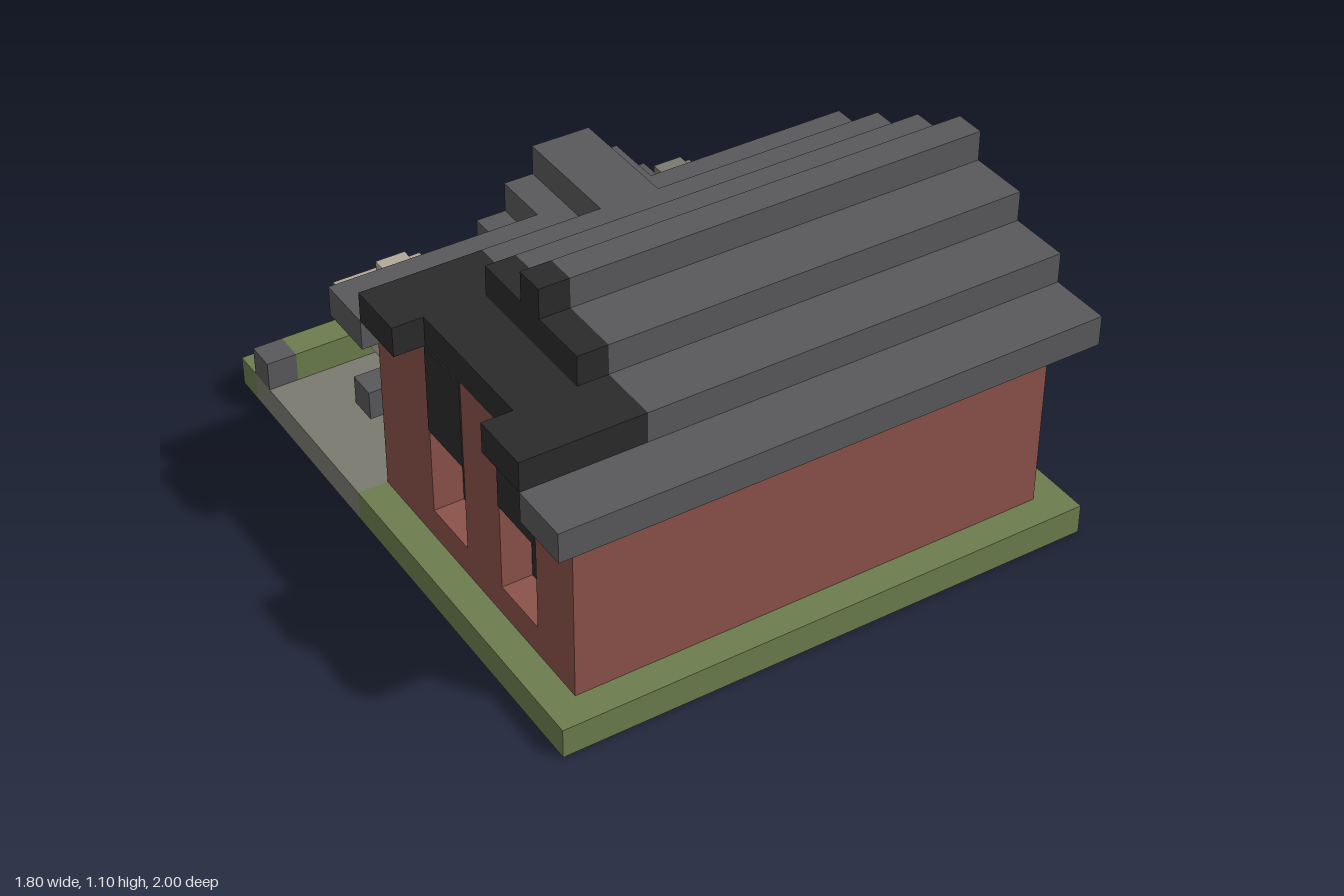
import * as THREE from 'three';

const mat = (name, color) => {
  const m = new THREE.MeshStandardMaterial({ color });
  m.name = name;
  return m;
};

export function createModel() {
  const brick = mat('brick', 0x8a5249);
  const slate = mat('slate', 0x59595b);
  const grass = mat('grass', 0x6c7d4e);
  const stone = mat('stone', 0x7b7a70);
  const cream = mat('cream', 0xb0a898);
  const char = mat('charred', 0x2b2b2b);

  const root = new THREE.Group();
  root.name = 'cottage';
  const group = (name) => {
    const g = new THREE.Group();
    g.name = name;
    root.add(g);
    return g;
  };
  // Box given by its low and high limits on each axis
  const box = (parent, name, material, x0, x1, y0, y1, z0, z1) => {
    const mesh = new THREE.Mesh(new THREE.BoxGeometry(x1 - x0, y1 - y0, z1 - z0), material);
    mesh.position.set((x0 + x1) / 2, (y0 + y1) / 2, (z0 + z1) / 2);
    mesh.name = name;
    parent.add(mesh);
  };
  // The same box on both sides of x = 0
  const pair = (parent, name, material, x0, x1, ...rest) => {
    box(parent, name, material, x0, x1, ...rest);
    box(parent, name, material, -x1, -x0, ...rest);
  };
  // Wall panel of thickness 0.1 with rectangular openings [u0, u1, v0, v1]
  const panel = (outline, holes) => {
    const shape = new THREE.Shape(outline.map(([u, v]) => new THREE.Vector2(u, v)));
    for (const [a, b, c, d] of holes) {
      shape.holes.push(new THREE.Path([[a, c], [a, d], [b, d], [b, c]].map(([u, v]) => new THREE.Vector2(u, v))));
    }
    return new THREE.ExtrudeGeometry(shape, { depth: 0.1, bevelEnabled: false });
  };
  const add = (parent, name, geometry, material, x, z) => {
    const mesh = new THREE.Mesh(geometry, material);
    mesh.position.set(x, 0, z);
    mesh.name = name;
    parent.add(mesh);
  };

  // Ground slab
  const ground = group('ground');
  box(ground, 'frontLawn', grass, -0.9, 0.9, 0, 0.1, 0.9, 1);
  pair(ground, 'sideLawn', grass, 0.8, 0.9, 0, 0.1, -0.2, 0.9);
  box(ground, 'houseFloor', stone, -0.8, 0.8, 0, 0.1, -0.2, 0.9);
  box(ground, 'yard', stone, -0.9, 0.9, 0, 0.1, -0.9, -0.4);
  pair(ground, 'yardSide', stone, 0.2, 0.9, 0, 0.1, -0.4, -0.2);
  box(ground, 'porchFloor', brick, -0.2, 0.2, 0, 0.1, -0.4, -0.2);
  box(ground, 'gatePath', stone, -0.2, 0.2, 0, 0.1, -1, -0.9);
  pair(ground, 'verge', grass, 0.2, 0.9, 0, 0.1, -1, -0.9);

  // Hedge with end posts
  const fence = group('fence');
  pair(fence, 'hedge', grass, 0.3, 0.8, 0.1, 0.2, -0.9, -0.8);
  pair(fence, 'gatePost', slate, 0.2, 0.3, 0.1, 0.2, -0.9, -0.8);
  pair(fence, 'cornerPost', slate, 0.8, 0.9, 0.1, 0.2, -0.9, -0.8);

  // Walls
  const walls = group('walls');
  const sideWindows = [[0.1, 0.3, 0.2, 0.5], [0.5, 0.7, 0.2, 0.5]];
  const backWindows = [[-0.6, -0.3, 0.2, 0.5], [0.3, 0.6, 0.2, 0.5]];
  const gableBase = [[-0.2, 0.1], [0.9, 0.1], [0.9, 0.7], [0.8, 0.7], [0.8, 0.8]];
  const gablePeak = [[0.6, 0.8], [0.6, 0.9], [0.4, 0.9], [0.4, 1], [0.3, 1], [0.3, 0.9], [0.1, 0.9], [0.1, 0.8]];
  const gableEnd = [[-0.1, 0.8], [-0.1, 0.7], [-0.2, 0.7]];
  add(walls, 'leftGable', panel([...gableBase, ...gablePeak, ...gableEnd], sideWindows).rotateY(-Math.PI / 2), brick, 0.8, 0);
  add(walls, 'rightGable', panel([...gableBase, ...gableEnd], sideWindows).rotateY(-Math.PI / 2), brick, -0.7, 0);
  add(walls, 'backWall', panel([[-0.7, 0.1], [0.7, 0.1], [0.7, 0.7], [-0.7, 0.7]], backWindows), brick, 0, -0.2);
  box(walls, 'frontWall', brick, -0.7, 0.7, 0.1, 0.7, 0.8, 0.9);

  // Recessed panes, charred on the burnt side
  const windows = group('windows');
  for (const [z0, z1, y0, y1] of sideWindows) {
    box(windows, 'leftPane', slate, 0.65, 0.7, y0, y1, z0, z1);
    box(windows, 'rightPane', char, -0.7, -0.65, y0, y1, z0, z1);
    box(windows, 'scorchMark', char, -0.804, -0.8, 0.5, 0.8, z0, z1);
  }
  for (const [x0, x1, y0, y1] of backWindows) {
    box(windows, 'backPane', x0 < 0 ? char : slate, x0, x1, y0, y1, -0.1, -0.05);
  }

  // Stepped roof: [bottom, z0, z1, right end, charred up to]
  const roof = group('roof');
  const courses = [
    [0.7, 0.8, 1, -0.9, -0.9], [0.8, 0.6, 0.8, -0.9, -0.5], [0.9, 0.4, 0.6, -0.6, -0.5],
    [1, 0.3, 0.4, -0.6, -0.5], [0.9, 0.1, 0.3, -0.6, -0.5], [0.8, -0.1, 0.1, -0.9, -0.5],
    [0.7, -0.3, -0.1, -0.9, -0.9],
  ];
  for (const [y, z0, z1, end, burnt] of courses) {
    box(roof, 'roofCourse', slate, burnt, 0.9, y, y + 0.1, z0, z1);
    if (burnt > end) box(roof, 'charredCourse', char, end, burnt, y, y + 0.1, z0, z1);
  }
  // The middle course is closed beneath the ridge
  box(roof, 'ridgeCore', char, -0.6, -0.5, 0.9, 1, 0.3, 0.4);
  box(roof, 'charredLoft', char, -0.8, -0.5, 0.8, 0.9, 0.1, 0.6);

  // Porch with recessed door
  const porch = group('porch');
  pair(porch, 'porchWall', brick, 0.1, 0.2, 0.1, 0.6, -0.4, -0.2);
  box(porch, 'doorLintel', brick, -0.1, 0.1, 0.5, 0.6, -0.4, -0.2);
  box(porch, 'door', stone, -0.1, 0.1, 0.1, 0.5, -0.3, -0.2);
  box(porch, 'porchGable', cream, -0.2, 0.2, 0.6, 0.7, -0.4, -0.2);
  box(porch, 'porchGableTop', cream, -0.1, 0.1, 0.7, 0.8, -0.4, -0.3);
  box(porch, 'porchRidge', slate, -0.1, 0.1, 0.8, 0.9, -0.5, -0.1);
  pair(porch, 'porchRoof', slate, 0.1, 0.2, 0.7, 0.8, -0.5, -0.3);
  pair(porch, 'porchEave', slate, 0.2, 0.3, 0.6, 0.7, -0.5, -0.2);

  // Two garden lanterns
  const lantern = (name, x, top, foot0, foot1) => {
    const g = group(name);
    box(g, 'foot', slate, foot0, foot1, 0.1, 0.2, -0.6, -0.5);
    box(g, 'post', stone, x - 0.05, x + 0.05, 0.2, 0.4, -0.6, -0.5);
    box(g, 'cap', top, x - 0.15, x + 0.15, 0.4, 0.5, -0.7, -0.4);
    box(g, 'finial', top, x - 0.05, x + 0.05, 0.5, 0.6, -0.6, -0.5);
  };
  lantern('rightLantern', -0.55, cream, -0.7, -0.4);
  lantern('leftLantern', 0.45, stone, 0.4, 0.6);

  // Low stone bench
  const bench = group('bench');
  box(bench, 'benchSeat', stone, 0, 0.3, 0.1, 0.2, -0.6, -0.5);
  box(bench, 'benchEnd', stone, 0.3, 0.4, 0.1, 0.2, -0.7, -0.4);

  return root;
}
